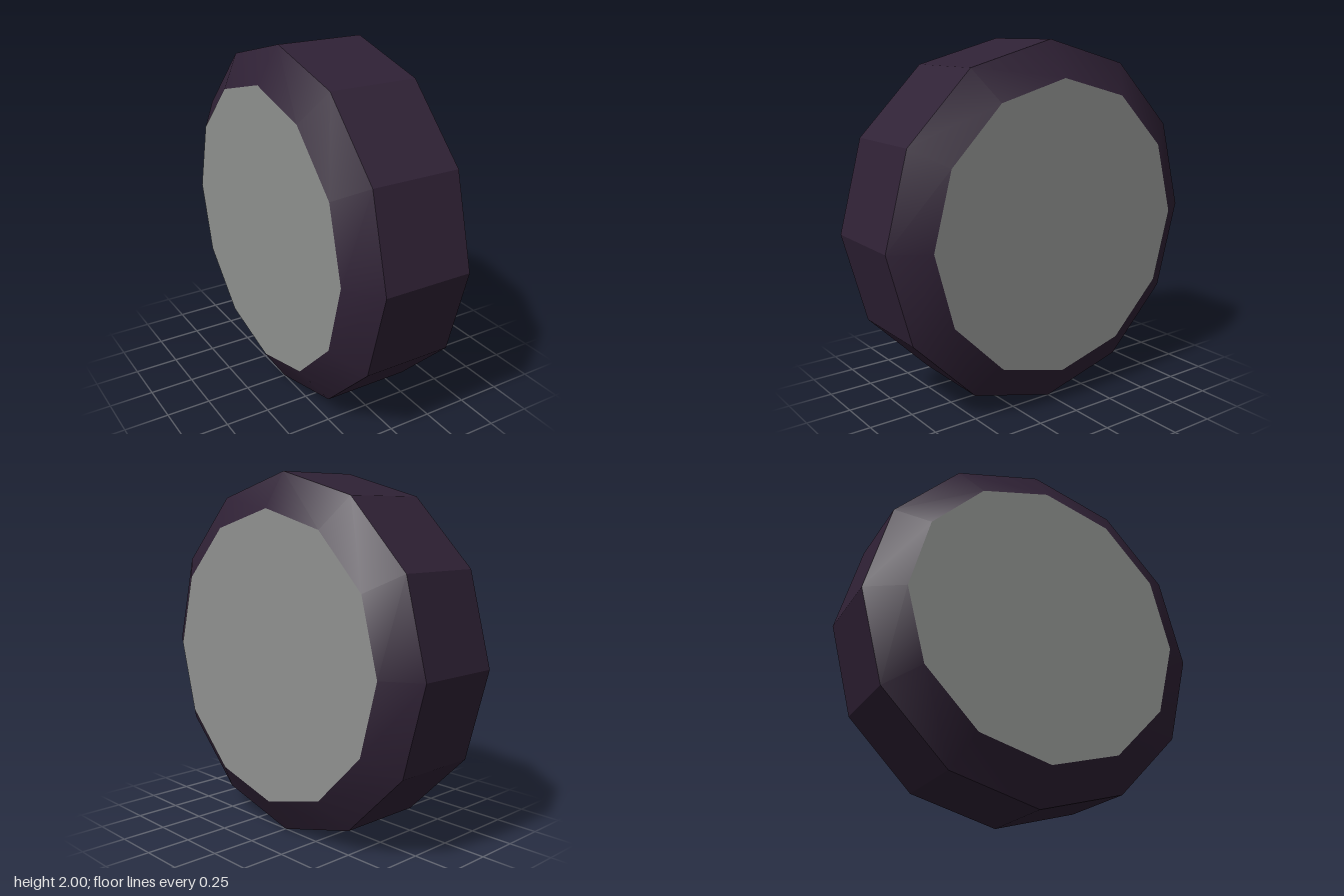
import * as THREE from 'three';
import { toCreasedNormals } from 'three/addons/utils/BufferGeometryUtils.js';

const SIDES = 12;
const RADIUS = 1, HUB_RADIUS = 0.805;
const TREAD_HALF = 0.25, HALF_WIDTH = 0.375;

export function createModel() {
  const wheel = new THREE.Group();
  wheel.name = 'wheel';
  const rubber = new THREE.MeshStandardMaterial({ color: 0x2f2135 });
  const metal = new THREE.MeshStandardMaterial({ color: 0x8f918f });

  // Tyre: flat tread with a bevelled shoulder on each side, axle along x
  const profile = [
    [HUB_RADIUS, -HALF_WIDTH], [RADIUS, -TREAD_HALF],
    [RADIUS, TREAD_HALF], [HUB_RADIUS, HALF_WIDTH],
  ].map(([r, y]) => new THREE.Vector2(r, y));
  const tyreGeometry = toCreasedNormals(
    new THREE.LatheGeometry(profile, SIDES).rotateZ(Math.PI / 2),
    THREE.MathUtils.degToRad(25)
  );
  const tyre = new THREE.Mesh(tyreGeometry, rubber);
  tyre.name = 'tyre';
  tyre.position.y = RADIUS;
  wheel.add(tyre);

  // Flat hub disc closing each side
  for (const side of [-1, 1]) {
    const hub = new THREE.Mesh(new THREE.CircleGeometry(HUB_RADIUS, SIDES), metal);
    hub.name = side > 0 ? 'leftHub' : 'rightHub';
    hub.rotation.y = side * Math.PI / 2;
    hub.position.set(side * HALF_WIDTH, RADIUS, 0);
    wheel.add(hub);
  }
  return wheel;
}
